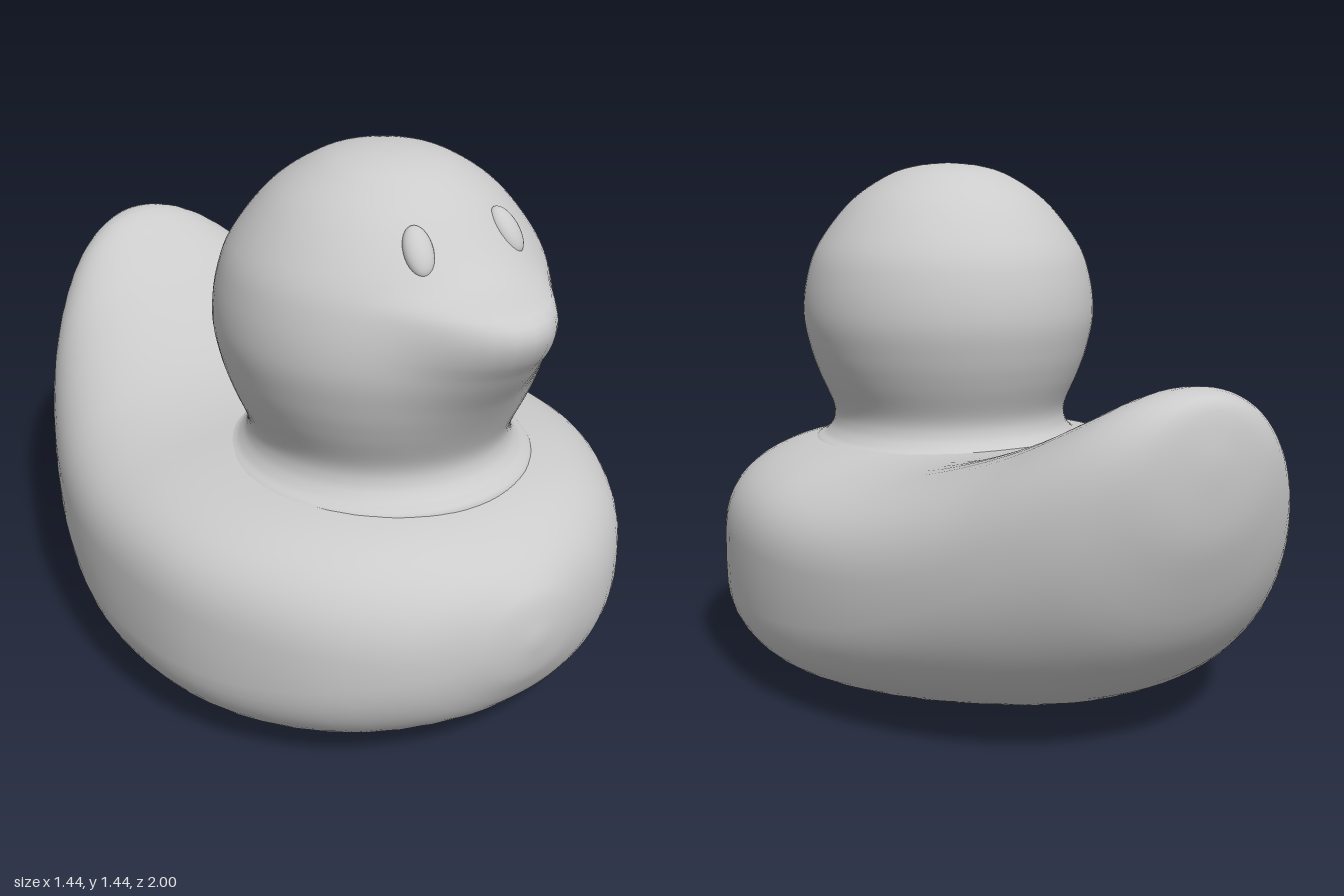
import * as THREE from 'three';
import { mergeVertices } from 'three/addons/utils/BufferGeometryUtils.js';

const material = new THREE.MeshStandardMaterial({ color: 0xcccccc, roughness: 0.6 });

function smooth(geometry) {
  geometry.deleteAttribute('uv');
  geometry.deleteAttribute('normal');
  const merged = mergeVertices(geometry, 1e-4);
  merged.computeVertexNormals();
  return merged;
}

function addMesh(parent, name, geometry) {
  const mesh = new THREE.Mesh(geometry, material);
  mesh.name = name;
  parent.add(mesh);
  return mesh;
}

// Body sections from chest to tail: z, half width, bottom, top, widest height, squareness
const BODY = [
  [1.0, 0, 0.35, 0.35, 0.35, 2],
  [0.985, 0.1, 0.26, 0.44, 0.35, 2],
  [0.96, 0.19, 0.2, 0.49, 0.34, 2.1],
  [0.9, 0.34, 0.11, 0.548, 0.33, 2.3],
  [0.78, 0.5, 0.045, 0.61, 0.32, 2.7],
  [0.61, 0.62, 0.01, 0.64, 0.31, 3.1],
  [0.42, 0.695, 0.003, 0.645, 0.31, 3.4],
  [0.2, 0.72, 0.0, 0.645, 0.31, 3.5],
  [0.0, 0.71, 0.003, 0.64, 0.32, 3.4],
  [-0.2, 0.668, 0.015, 0.665, 0.34, 3],
  [-0.4, 0.6, 0.045, 0.725, 0.38, 2.6],
  [-0.6, 0.51, 0.1, 0.805, 0.46, 2.3],
  [-0.75, 0.42, 0.2, 0.88, 0.55, 2.2],
  [-0.87, 0.32, 0.335, 0.94, 0.64, 2.1],
  [-0.95, 0.215, 0.51, 0.935, 0.73, 2],
  [-0.985, 0.115, 0.63, 0.9, 0.77, 2],
  [-1.0, 0, 0.78, 0.78, 0.78, 2],
];

function bodyGeometry() {
  const outline = new THREE.CatmullRomCurve3(BODY.map(s => new THREE.Vector3(s[0], s[1], s[5])), false, 'catmullrom');
  const heights = new THREE.CatmullRomCurve3(BODY.map(s => new THREE.Vector3(s[2], s[3], s[4])), false, 'catmullrom');
  const rows = (BODY.length - 1) * 3, sides = 64;
  const positions = [], index = [];
  for (let i = 0; i <= rows; i++) {
    const { x: z, y: width, z: power } = outline.getPoint(i / rows);
    const { x: bottom, y: top, z: middle } = heights.getPoint(i / rows);
    for (let j = 0; j < sides; j++) {
      const a = (j / sides) * Math.PI * 2;
      const c = Math.cos(a), s = Math.sin(a);
      const x = width * Math.sign(c) * Math.abs(c) ** (2 / power);
      const rise = Math.abs(s) ** (2 / power);
      const y = s > 0 ? middle + (top - middle) * rise : middle - (middle - bottom) * rise;
      positions.push(x, Math.max(0, y), z);
      if (i < rows) {
        const k = i * sides + j, next = i * sides + (j + 1) % sides;
        index.push(k, k + sides, next, next, k + sides, next + sides);
      }
    }
  }
  const geometry = new THREE.BufferGeometry();
  geometry.setAttribute('position', new THREE.Float32BufferAttribute(positions, 3));
  geometry.setIndex(index);
  return smooth(geometry);
}

// Head and flared neck: turned profile, with the beak drawn out of the front
function headGeometry() {
  const profile = [
    [0.41, 0.55], [0.41, 0.62], [0.375, 0.645], [0.352, 0.68], [0.352, 0.73], [0.39, 0.82],
    [0.417, 0.9], [0.435, 1.0], [0.423, 1.11], [0.385, 1.21], [0.29, 1.33],
    [0.18, 1.405], [0.09, 1.434], [0, 1.442],
  ].map(([r, y]) => new THREE.Vector2(r, y));
  const points = new THREE.SplineCurve(profile).getPoints(78);
  points.forEach(p => { p.x = Math.max(0, p.x); });
  points[points.length - 1].x = 0;
  const geometry = new THREE.LatheGeometry(points, 72, Math.PI);

  // Beak reach at each height
  const reach = new THREE.SplineCurve([
    [0.76, 0], [0.82, 0.004], [0.9, 0.025], [1.0, 0.077], [1.05, 0.115],
    [1.1, 0.142], [1.135, 0.145], [1.16, 0.13], [1.18, 0.08], [1.2, 0.04], [1.25, 0.01], [1.3, 0],
  ].map(([y, e]) => new THREE.Vector2(y, e))).getPoints(120);
  const reachAt = y => {
    const i = reach.findIndex(p => p.x >= y);
    if (i < 1) return 0;
    const a = reach[i - 1], b = reach[i];
    return THREE.MathUtils.mapLinear(y, a.x, b.x, a.y, b.y);
  };
  const pos = geometry.attributes.position;
  for (let i = 0; i < pos.count; i++) {
    const x = pos.getX(i), z = pos.getZ(i);
    const angle = Math.atan2(x, z), r = Math.hypot(x, z);
    const grown = r + reachAt(pos.getY(i)) * Math.exp(-((angle / 0.4) ** 2));
    pos.setX(i, Math.sin(angle) * grown);
    pos.setZ(i, Math.cos(angle) * grown);
  }
  geometry.translate(0, 0, 0.35);
  return smooth(geometry);
}

export function createModel() {
  const model = new THREE.Group();
  model.name = 'bathDuck';

  addMesh(model, 'body', bodyGeometry());
  addMesh(model, 'head', headGeometry());

  // Oval eyes lying on the head surface
  for (const side of [1, -1]) {
    const eye = addMesh(model, side > 0 ? 'leftEye' : 'rightEye', new THREE.SphereGeometry(1, 24, 16));
    eye.position.set(side * 0.135, 1.277, 0.655);
    eye.scale.set(0.037, 0.064, 0.026);
    eye.lookAt(side * 0.22, 1.277 + 0.25, 0.655 + 0.3);
  }
  return model;
}
